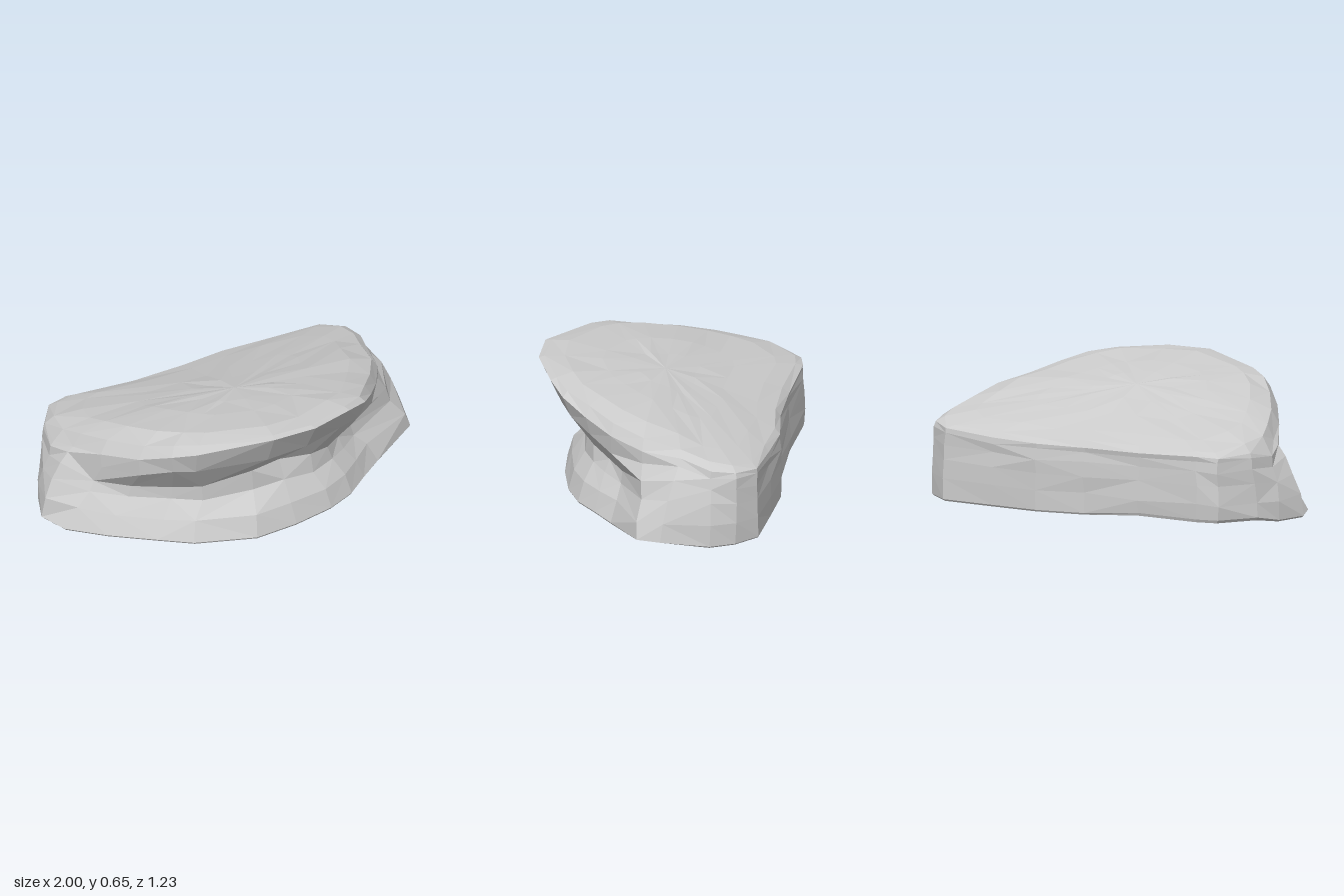
import * as THREE from 'three';

// Foot outline [x, z], from the front round by the left side and back
const BASE = [
  [0.09, 0.49], [0.31, 0.44], [0.46, 0.37], [0.58, 0.27], [0.71, 0.17], [0.98, 0],
  [1, -0.12], [0.95, -0.36], [0.89, -0.48], [0.78, -0.58], [0.5, -0.6], [0.25, -0.615],
  [0, -0.58], [-0.3, -0.58], [-0.63, -0.6], [-0.74, -0.58], [-0.88, -0.42], [-0.94, -0.3],
  [-1, -0.15], [-0.95, 0], [-0.79, 0.15], [-0.59, 0.3], [-0.44, 0.41], [-0.14, 0.51],
];
// Rim of the sloping top [x, y, z], column for column with the foot outline
const RIM = [
  [0.13, 0.635, 0.615], [0.37, 0.615, 0.52], [0.5, 0.58, 0.44], [0.6, 0.52, 0.31], [0.7, 0.47, 0.17], [0.8, 0.44, 0],
  [0.84, 0.43, -0.2], [0.89, 0.39, -0.36], [0.87, 0.38, -0.48], [0.77, 0.37, -0.57], [0.5, 0.35, -0.59], [0.25, 0.345, -0.61],
  [0, 0.34, -0.575], [-0.3, 0.34, -0.575], [-0.63, 0.355, -0.595], [-0.74, 0.35, -0.57], [-0.84, 0.36, -0.42], [-0.87, 0.35, -0.27],
  [-0.83, 0.38, -0.14], [-0.77, 0.42, 0.04], [-0.66, 0.47, 0.24], [-0.55, 0.53, 0.38], [-0.45, 0.56, 0.46], [-0.1, 0.635, 0.615],
];
const N = BASE.length;
const { lerp } = THREE.MathUtils;

// Height of the top along its middle: [z, y]
const RIDGE = [[-0.62, 0.37], [-0.5, 0.42], [-0.25, 0.48], [0, 0.56], [0.45, 0.645], [0.62, 0.64]];
function ridge(z) {
  for (let i = 1; i < RIDGE.length; i++) {
    const [z0, y0] = RIDGE[i - 1], [z1, y1] = RIDGE[i];
    if (z <= z1) return lerp(y0, y1, (z - z0) / (z1 - z0));
  }
  return 0.64;
}

// Seeded noise in -1..1
function noise(a, b) {
  const s = Math.sin(a * 127.1 + b * 311.7) * 43758.5453;
  return (s - Math.floor(s)) * 2 - 1;
}

// How deeply a column is hollowed under the lip
function hollow(i) {
  if (i < 5 || i > 19) return 1;
  if (i === 19) return 0.9;
  return i === 5 ? 0.45 : 0;
}

// One vertical section: ground, foot, wall, waist, cavity, lip underside, rim, then inward over the top
function section(i) {
  const [bx, bz] = BASE[i], [rx, ry, rz] = RIM[i], u = hollow(i);
  const side = Math.min(1, Math.abs(rx) / 0.7);
  const wall = (t) => [lerp(bx, rx, t * t), t * ry, lerp(bz, rz, t * t)];
  const mix = (t, x, y, z) => wall(t).map((v, k) => lerp(v, [x, y, z][k], u));
  const cut = lerp(0.74, 0.82, side), low = lerp(0.95, 0.93, side);
  const lip = lerp(0.83, 0.97, side);
  // The foot is worn away below the left side and lifted at the back right corner
  const worn = i === 5 || i === 6;
  const lifted = i > 12 && i < 17;
  const inset = worn ? 0.9 : 0.99;
  const points = [
    [bx * inset, lifted ? 0.025 : 0.003, bz * inset],
    [bx, worn || lifted ? 0.04 : 0.012, bz],
    mix(0.32, bx * low, 0.11, bz * low),
    mix(0.58, bx * (cut + 0.03), lerp(0.22, 0.18, side), bz * (cut + 0.03)),
    mix(0.78, bx * cut, lerp(0.35, 0.24, side), bz * cut),
    mix(0.92, rx * lerp(0.9, 0.98, side), ry - lerp(0.17, 0.09, side), rz * lip),
    [rx, ry, rz],
  ];
  for (const [s, t] of [[0.95, 0.5], [0.8, 0.8], [0.5, 0.96], [0.25, 1]]) {
    const x = rx * s, z = rz * s;
    points.push([x, lerp(ry, ridge(z), t), z]);
  }
  // Chipped, uneven surface away from the foot and rim
  return points.map((p, k) => {
    const a = k < 2 || k === 6 ? 0 : k < 6 ? (u ? 0.012 : 0.007) : 0.005;
    return p.map((v, j) => v + a * noise(i + j * 31, k));
  });
}

function rockGeometry() {
  const sections = BASE.map((_, i) => section(i));
  const K = sections[0].length;
  const positions = sections.flat(2);
  const index = [];
  const id = (i, k) => (i % N) * K + k;
  const bottom = N * K, crown = bottom + 1;
  positions.push(0, 0, 0, 0, ridge(0), 0);
  for (let i = 0; i < N; i++) {
    for (let k = 0; k < K - 1; k++) {
      const a = id(i, k), b = id(i + 1, k), c = id(i + 1, k + 1), d = id(i, k + 1);
      // Vary the diagonals for irregular facets
      if (noise(i, k + 50) > 0) index.push(a, b, c, a, c, d);
      else index.push(a, b, d, b, c, d);
    }
    index.push(id(i + 1, 0), id(i, 0), bottom);
    index.push(id(i, K - 1), id(i + 1, K - 1), crown);
  }
  const geometry = new THREE.BufferGeometry();
  geometry.setAttribute('position', new THREE.Float32BufferAttribute(positions, 3));
  geometry.setIndex(index);
  const faceted = geometry.toNonIndexed();
  faceted.computeVertexNormals();
  return faceted;
}

export function createModel() {
  const group = new THREE.Group();
  group.name = 'overhangingRock';
  const material = new THREE.MeshStandardMaterial({ color: 0xcccccc, flatShading: true });
  const rock = new THREE.Mesh(rockGeometry(), material);
  rock.name = 'rock';
  group.add(rock);
  return group;
}
